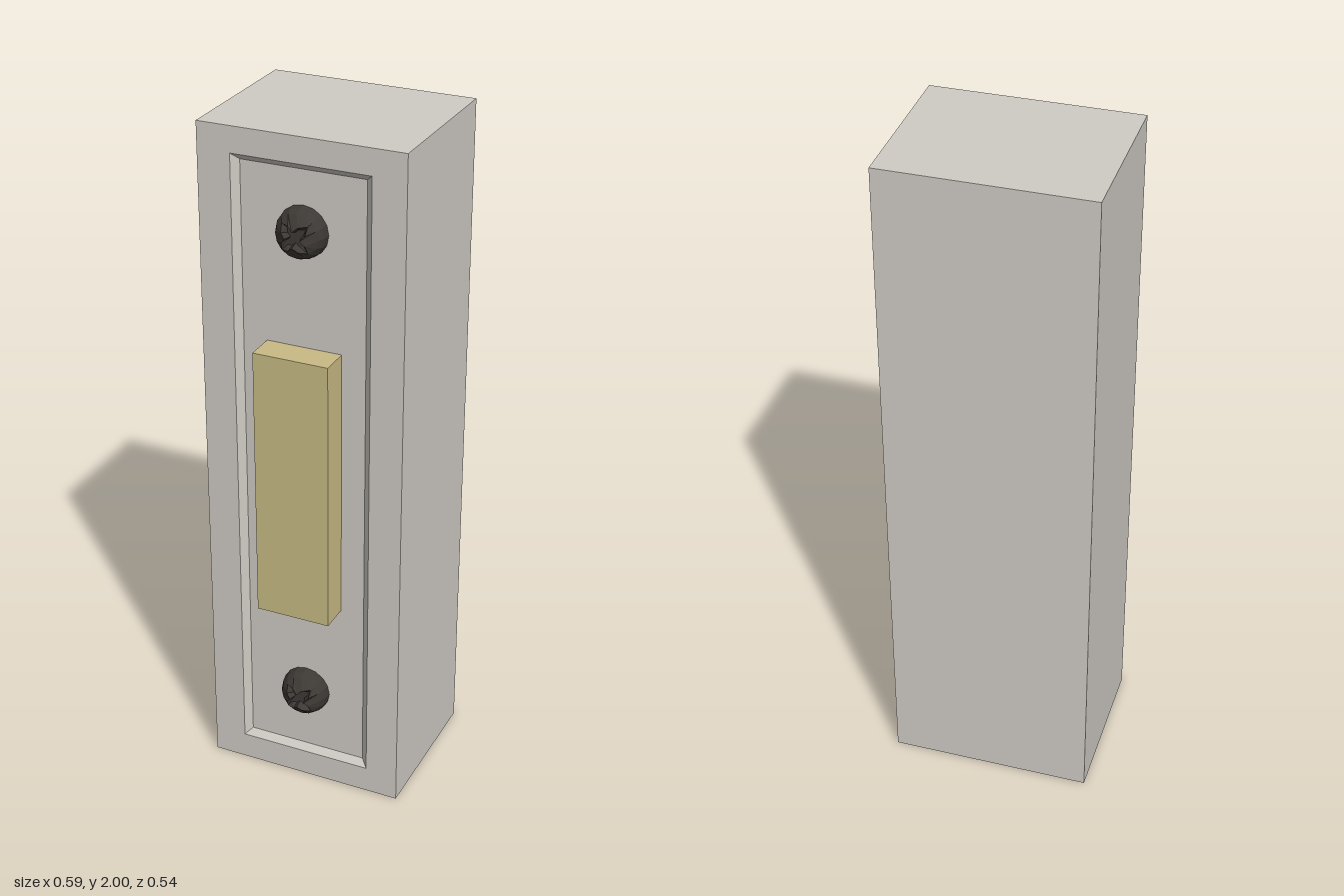
import * as THREE from 'three';

const FRONT = 0.197, BACK = -0.268, FLOOR = 0.18;

// Solid lofted through rectangles [halfWidth, bottom, top, z], capped at both ends
function loftRects(rects) {
  const pos = [], idx = [];
  for (const [w, b, t, z] of rects) pos.push(-w, b, z, w, b, z, w, t, z, -w, t, z);
  for (let r = 0; r < rects.length - 1; r++) {
    for (let i = 0; i < 4; i++) {
      const a = r * 4 + i, c = r * 4 + (i + 1) % 4;
      idx.push(a, c, c + 4, a, c + 4, a + 4);
    }
  }
  const e = (rects.length - 1) * 4;
  idx.push(0, 2, 1, 0, 3, 2, e, e + 1, e + 2, e, e + 2, e + 3);
  const g = new THREE.BufferGeometry();
  g.setAttribute('position', new THREE.Float32BufferAttribute(pos, 3));
  g.setIndex(idx);
  const flat = g.toNonIndexed();
  flat.computeVertexNormals();
  return flat;
}

// Domed screw head facing +z with a diagonal cross-shaped recess
function screwHead() {
  const R = 0.073, segments = 16;
  const dome = (r) => Math.sqrt(Math.max(0, R * R - r * r));
  // Ring order: base, shoulder, shoulder, recess rim, recess floor, centre
  const radii = [R, 0.07, 0.062, 0.052, 0.034, 0];
  const g = new THREE.LatheGeometry(radii.map((r) => new THREE.Vector2(r, dome(r))), segments);
  const p = g.attributes.position;
  for (let i = 0; i < p.count; i++) {
    const ring = i % radii.length;
    if (ring < 3) continue;
    const angle = Math.atan2(p.getX(i), p.getZ(i));
    const star = 0.42 + 0.58 * Math.abs(Math.sin(2 * angle)) ** 2;
    const r = radii[ring] * star;
    const y = ring === 3 ? dome(r) : 0.045;
    p.setXYZ(i, Math.sin(angle) * r, y, Math.cos(angle) * r);
  }
  g.rotateX(Math.PI / 2);
  return g;
}

export function createModel() {
  const group = new THREE.Group();
  const add = (name, geometry, color, x, y, z, flatShading = false) => {
    const mesh = new THREE.Mesh(geometry, new THREE.MeshStandardMaterial({ color, flatShading }));
    mesh.name = name;
    mesh.position.set(x, y, z);
    group.add(mesh);
  };

  // Housing with a bevelled, sunken front panel
  add('housing', loftRects([
    [0.296, 0, 2, BACK],
    [0.296, 0, 2, FRONT],
    [0.2, 0.08, 1.926, FRONT],
    [0.18, 0.1, 1.908, FLOOR],
  ]), 0xcfcbc4, 0, 0, 0);

  // Push button
  const depth = 0.268 - FLOOR;
  add('pushButton', new THREE.BoxGeometry(0.22, 0.806, depth), 0xc9bb85, 0, 1.003, FLOOR + depth / 2);

  // Mounting screws
  for (const [name, y] of [['upperScrew', 1.738], ['lowerScrew', 0.297]]) {
    add(name, screwHead(), 0x3d3935, 0, y, FLOOR, true);
  }
  return group;
}
